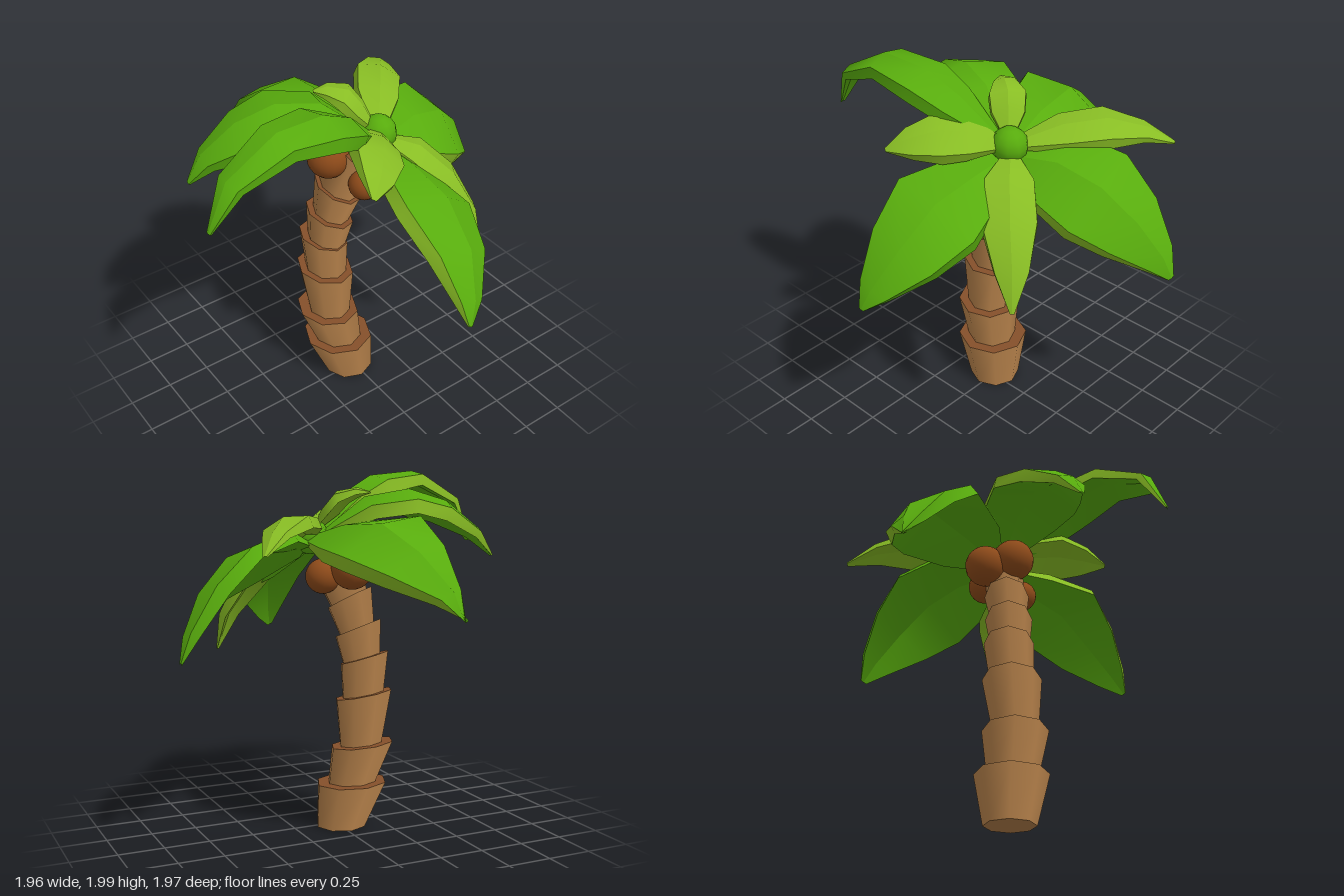
import * as THREE from 'three';

const mat = (name, color) => {
  const m = new THREE.MeshStandardMaterial({ color });
  m.name = name;
  return m;
};

// Trunk ring: [x, y, z, radius, slope]; the slope tips the ring towards +x and -z
function trunkSegment(bottom, top) {
  const g = new THREE.CylinderGeometry(1, 1, 2, 8);
  const p = g.attributes.position;
  for (let i = 0; i < p.count; i++) {
    const [x, y, z, r, k] = p.getY(i) > 0 ? top : bottom;
    const dx = p.getX(i) * r, dz = p.getZ(i) * r;
    p.setXYZ(i, x + dx, y + k * (dz - dx), z + dz);
  }
  return g;
}

// Leaf: a thick ridged section swept along a midrib of [x, y, z, halfWidth];
// lean rolls it with the tilt of the crown
function leafGeometry(lean, rib) {
  const crownUp = new THREE.Vector3(0.55 * lean, 1, -0.55 * lean).normalize();
  const pts = rib.map(([x, y, z]) => new THREE.Vector3(x, y, z));
  const rows = rib.map(([, , , w], i) => {
    const t = pts[Math.min(i + 1, pts.length - 1)].clone().sub(pts[Math.max(i - 1, 0)]).normalize();
    const side = t.clone().cross(crownUp).normalize();
    const up = side.clone().cross(t);
    const d = Math.min(0.075, w * 0.5), h = w * 0.25;
    return [[-w, -d], [-w * 0.95, 0], [0, h], [w * 0.95, 0], [w, -d], [0, h - d]]
      .map(([s, n]) => pts[i].clone().addScaledVector(side, s).addScaledVector(up, n));
  });
  const pos = [], index = [], n = rows.length;
  // each strip keeps its own vertices so the edges stay crisp; the right rim comes last
  for (const j of [0, 1, 2, 4, 5, 3]) {
    const base = pos.length / 3;
    rows.forEach((r) => pos.push(...r[j].toArray(), ...r[(j + 1) % 6].toArray()));
    for (let i = 0; i < n - 1; i++) {
      const a = base + i * 2;
      index.push(a, a + 1, a + 2, a + 1, a + 3, a + 2);
    }
  }
  const g = new THREE.BufferGeometry();
  g.setAttribute('position', new THREE.Float32BufferAttribute(pos, 3));
  g.setIndex(index);
  const strip = (n - 1) * 6;
  g.addGroup(0, strip * 5, 0);
  g.addGroup(strip * 5, strip, 1);
  g.computeVertexNormals();
  return g;
}

export function createModel() {
  const bark = mat('bark', 0xb07d48);
  const darkBark = mat('dark bark', 0x85502a);
  const brown = mat('coconut brown', 0x8f4b1a);
  const green = mat('leaf green', 0x58ac0d);
  const lime = mat('young leaf green', 0x88bd24);

  const palm = new THREE.Group();
  palm.name = 'palmTree';
  const add = (name, geometry, material) => {
    const m = new THREE.Mesh(geometry, material);
    m.name = name;
    palm.add(m);
    return m;
  };

  // Trunk: stacked flaring segments, bottom ring then top ring
  const segments = [
    [[-0.035, 0, 0.018, 0.142, 0], [-0.07, 0.257, 0.067, 0.2, 0.03]],
    [[-0.065, 0.25, 0.07, 0.137, 0.03], [-0.095, 0.475, 0.12, 0.177, 0.09]],
    [[-0.088, 0.46, 0.115, 0.12, 0.09], [-0.117, 0.76, 0.117, 0.16, 0.15]],
    [[-0.115, 0.74, 0.115, 0.117, 0.15], [-0.135, 0.968, 0.112, 0.136, 0.22]],
    [[-0.118, 0.95, 0.105, 0.105, 0.22], [-0.11, 1.13, 0.085, 0.13, 0.3]],
    [[-0.11, 1.11, 0.083, 0.095, 0.3], [-0.088, 1.295, 0.045, 0.124, 0.37]],
    [[-0.092, 1.27, 0.048, 0.1, 0.37], [-0.045, 1.53, -0.04, 0.12, 0.5]],
  ];
  segments.forEach(([b, t], i) => add(`trunkSegment${i + 1}`, trunkSegment(b, t), [bark, darkBark, bark]));

  // Coconuts: x, y, z, radius
  [
    [-0.09, 1.51, 0.1, 0.116],
    [-0.21, 1.465, 0, 0.114],
    [0.08, 1.385, -0.01, 0.086],
    [-0.1, 1.42, -0.12, 0.095],
  ].forEach(([x, y, z, r], i) =>
    add(`coconut${i + 1}`, new THREE.SphereGeometry(r, 20, 14), brown).position.set(x, y, z));

  // Bud in the middle of the crown
  add('crownBud', new THREE.SphereGeometry(0.1, 10, 8), green).position.set(0.025, 1.63, -0.14);

  // Large leaves: lean, then midrib
  const large = [
    [0.9, [[0.04, 1.57, -0.14, 0.05], [0.28, 1.53, -0.14, 0.18], [0.55, 1.47, -0.13, 0.265],
      [0.77, 1.32, -0.11, 0.2], [0.92, 1.14, -0.05, 0.09], [0.97, 1.03, -0.01, 0.015]]],
    [0.9, [[0.02, 1.57, -0.18, 0.06], [-0.05, 1.56, -0.4, 0.24], [-0.11, 1.48, -0.62, 0.28],
      [-0.18, 1.33, -0.8, 0.21], [-0.26, 1.15, -0.93, 0.1], [-0.3, 1.03, -0.98, 0.02]]],
    [0.9, [[0, 1.62, -0.14, 0.05], [-0.28, 1.65, -0.07, 0.2], [-0.58, 1.65, -0.01, 0.275],
      [-0.78, 1.54, 0.07, 0.21], [-0.92, 1.38, 0.18, 0.09], [-0.97, 1.25, 0.235, 0.015]]],
    [0.1, [[0, 1.64, -0.08, 0.05], [-0.1, 1.79, 0.15, 0.22], [-0.17, 1.82, 0.36, 0.255],
      [-0.22, 1.775, 0.55, 0.19], [-0.28, 1.65, 0.73, 0.09], [-0.3, 1.52, 0.82, 0.015]]],
    [0.15, [[0.04, 1.65, -0.08, 0.04], [0.13, 1.83, 0.13, 0.14], [0.165, 1.92, 0.31, 0.165],
      [0.2, 1.955, 0.58, 0.13], [0.21, 1.82, 0.86, 0.08], [0.2, 1.58, 0.98, 0.015]]],
  ];
  large.forEach(([lean, rib], i) => add(`largeLeaf${i + 1}`, leafGeometry(lean, rib), [green, lime]));

  // Young leaves
  const young = [
    [0.4, [[0, 1.64, -0.16, 0.04], [-0.2, 1.7, -0.31, 0.12], [-0.38, 1.715, -0.45, 0.13],
      [-0.55, 1.66, -0.58, 0.07], [-0.68, 1.57, -0.68, 0.012]]],
    [1, [[0.05, 1.6, -0.17, 0.04], [0.18, 1.55, -0.28, 0.13], [0.31, 1.4, -0.4, 0.145],
      [0.4, 1.19, -0.5, 0.09], [0.44, 0.98, -0.54, 0.012]]],
    [0.7, [[0.06, 1.65, -0.12, 0.04], [0.2, 1.71, -0.02, 0.12], [0.32, 1.73, 0.07, 0.14],
      [0.44, 1.7, 0.17, 0.09], [0.52, 1.65, 0.26, 0.012]]],
    [0.8, [[0.01, 1.67, -0.12, 0.03], [-0.04, 1.77, -0.07, 0.09], [-0.09, 1.85, -0.02, 0.1],
      [-0.15, 1.875, 0.06, 0.06], [-0.19, 1.865, 0.12, 0.01]]],
  ];
  young.forEach(([lean, rib], i) => add(`youngLeaf${i + 1}`, leafGeometry(lean, rib), lime));

  return palm;
}
